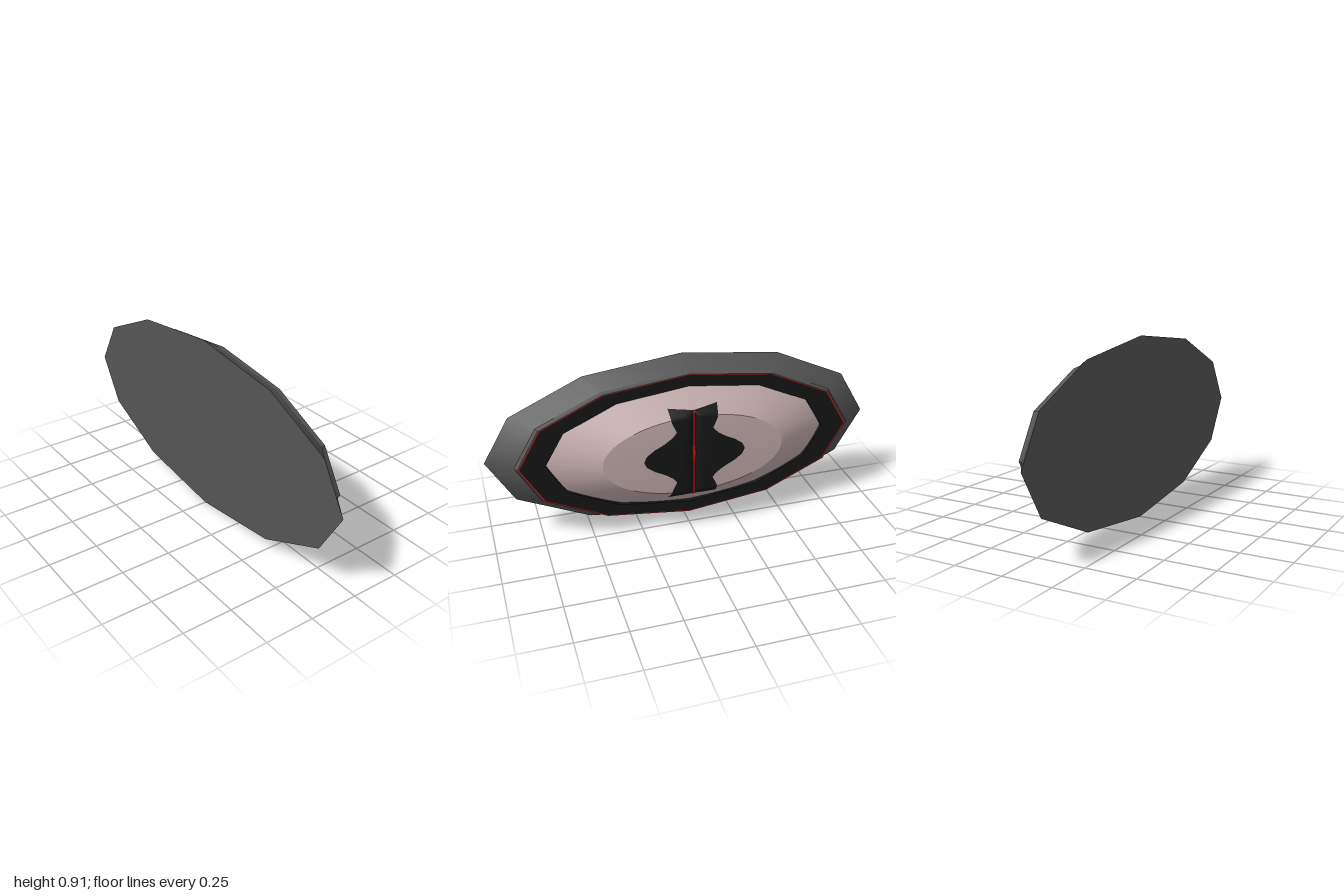
import * as THREE from 'three';

const RATIO = 0.457; // height of every ellipse relative to its width
const SEAT = 0.457;  // height of the centre
const CAP = 0.46;    // radius where the dome meets its sloping flank

const mat = (color, extra = {}) =>
  new THREE.MeshStandardMaterial({ color, side: THREE.DoubleSide, ...extra });

// height of the domed face above the plate, in round (unsquashed) coordinates
function surfaceX(r) {
  return r < CAP
    ? 0.098 + 0.008 * (1 - (r / CAP) ** 2)
    : 0.098 - (r - CAP) * 0.45;
}

// spin a profile of [radius, x] around the x axis; an optional rule moves vertices
function spin(name, profile, sides, material, rule) {
  const geo = new THREE.LatheGeometry(profile.map(([r, h]) => new THREE.Vector2(r, h)), sides);
  geo.rotateZ(-Math.PI / 2);
  if (rule) {
    const p = geo.attributes.position;
    for (let i = 0; i < p.count; i++) p.setX(i, rule(p.getX(i), p.getZ(i)));
    geo.computeVertexNormals();
  }
  geo.scale(1, RATIO, 1);
  geo.translate(0, SEAT, 0);
  const mesh = new THREE.Mesh(geo, material);
  mesh.name = name;
  return mesh;
}

// grid of rows of points, facing +x
function sheet(name, rows, material) {
  const n = rows[0].length;
  const index = [];
  for (let i = 0; i < rows.length - 1; i++) {
    for (let j = 0; j < n - 1; j++) {
      const a = i * n + j;
      const b = a + n;
      index.push(a, b, b + 1, a, b + 1, a + 1);
    }
  }
  const geo = new THREE.BufferGeometry();
  geo.setAttribute('position', new THREE.Float32BufferAttribute(rows.flat(2), 3));
  geo.setIndex(index);
  geo.computeVertexNormals();
  const mesh = new THREE.Mesh(geo, material);
  mesh.name = name;
  return mesh;
}

// half width of the pupil at a distance above or below the centre
const OUTLINE = [[0, 0.258], [0.03, 0.245], [0.06, 0.205], [0.085, 0.155],
  [0.115, 0.112], [0.14, 0.092], [0.19, 0.115], [0.25, 0.125]];
function halfWidth(v) {
  const a = Math.abs(v);
  let k = 1;
  while (k < OUTLINE.length - 1 && a > OUTLINE[k][0]) k++;
  const [v0, w0] = OUTLINE[k - 1];
  const [v1, w1] = OUTLINE[k];
  return w0 + (w1 - w0) * (a - v0) / (v1 - v0);
}

export function createModel() {
  const group = new THREE.Group();
  const grey = mat(0x555555);
  const greyFlat = mat(0x555555, { flatShading: true });
  const black = mat(0x161616);
  const pink = mat(0xc4adad);
  const red = mat(0xc01010);

  // twelve-sided housing
  group.add(spin('backPlate', [[0, -0.11], [1, -0.11]], 12, greyFlat));
  group.add(spin('housingFlank', [[1, -0.11], [0.868, -0.02]], 12, grey));
  group.add(spin('housingRim', [[0.868, -0.02], [0.857, 0.005], [0.852, 0.005]], 12, greyFlat));
  group.add(spin('rimLine', [[0.852, 0.005], [0.846, 0.005]], 12, red));
  group.add(spin('blackRing', [[0.846, 0.005], [0.72, 0.005], [0.72, -0.03]], 12,
    mat(0x161616, { flatShading: true })));

  // smooth dome with a vertical groove through its middle
  const groove = (x, z) => Math.min(x, 0.07 + Math.abs(z) * 0.9);
  const flank = [];
  for (let i = 0; i <= 10; i++) {
    const r = 0.745 + (CAP - 0.745) * i / 10;
    flank.push([r, surfaceX(r)]);
  }
  const cap = [];
  for (let i = 0; i <= 24; i++) {
    const r = CAP * (1 - i / 24);
    cap.push([r, surfaceX(r)]);
  }
  group.add(spin('domeFlank', flank, 96, pink, groove));
  group.add(spin('domeCap', cap, 96, pink, groove));

  // pupil lying on the dome, folded into the groove, with horned ends
  const rows = [];
  const STEPS = 50;
  for (let i = 0; i <= STEPS; i++) {
    const v = -0.25 + 0.5 * i / STEPS;
    const w = halfWidth(v);
    const side = [0.006, 0.015, 0.03];
    for (let j = 1; j <= 6; j++) side.push(0.03 + (w - 0.03) * j / 6);
    const across = [...side.map((z) => -z).reverse(), 0, ...side];
    rows.push(across.map((z) => {
      // the outer edge dips toward the middle between the horns
      const y = v * (Math.abs(v) > 0.2 ? 1 - 0.06 * (1 - Math.abs(z) / w) * (Math.abs(v) - 0.2) / 0.05 : 1);
      const x = surfaceX(Math.hypot(z, y / RATIO)) + 0.004;
      return [Math.min(x, 0.08 + Math.abs(z) * 0.9), SEAT + y, z];
    }));
  }
  group.add(sheet('pupil', rows, black));

  // slim red slit at the bottom of the groove
  const slit = [];
  for (let i = 0; i <= 24; i++) {
    const v = -0.235 + 0.47 * i / 24;
    const w = 0.005 + 0.005 * Math.max(0, 1 - Math.abs(v) / 0.06);
    const x = Math.min(surfaceX(Math.abs(v) / RATIO) + 0.004, 0.08) + 0.9 * w + 0.001;
    slit.push([[x, SEAT + v, -w], [x, SEAT + v, w]]);
  }
  group.add(sheet('slit', slit, red));

  return group;
}
